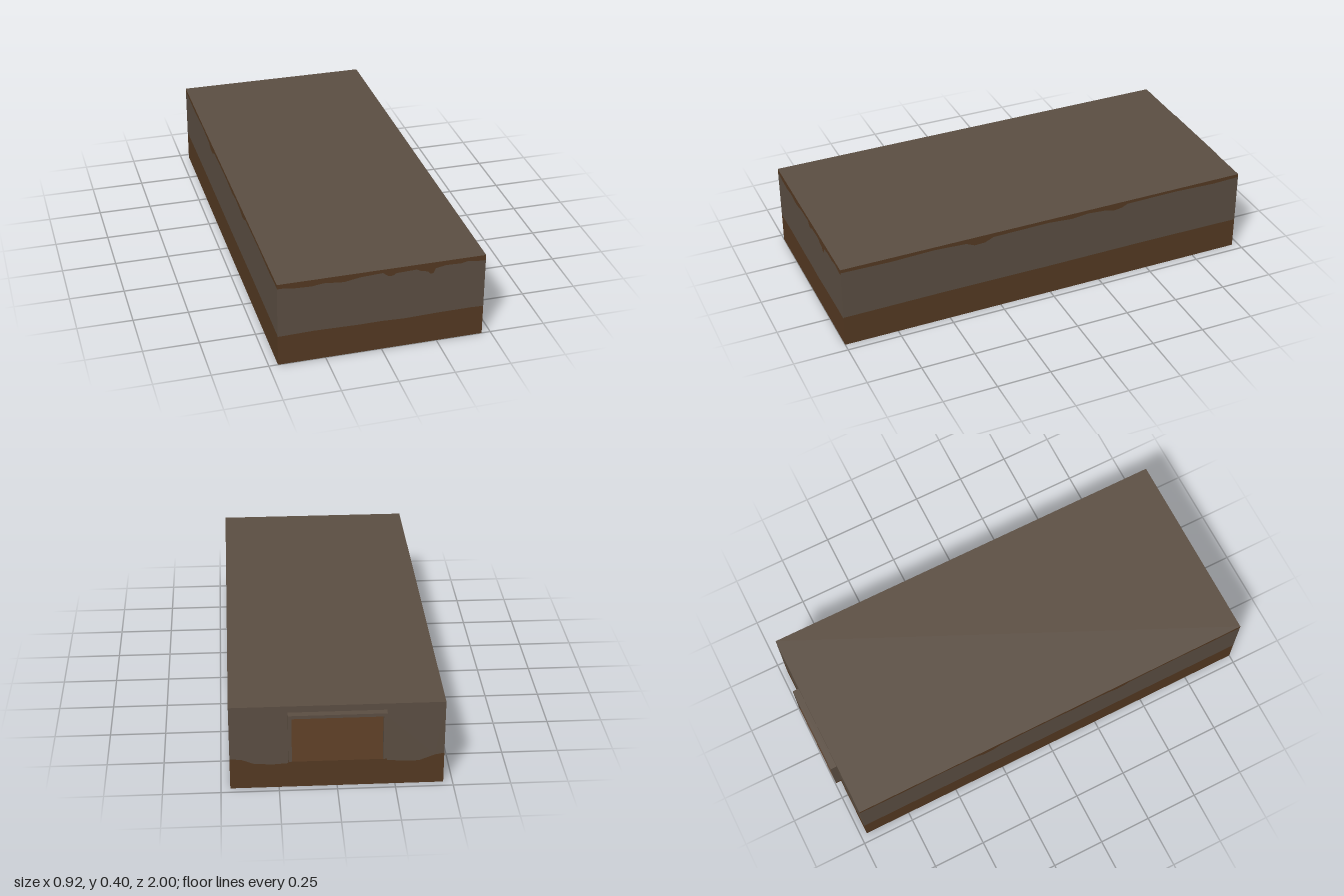
import * as THREE from 'three';

const W = 0.46, H = 0.4, BACK = -0.97, FRONT = 1;
const MID = (FRONT + BACK) / 2, HALF = (FRONT - BACK) / 2;

export function createModel() {
  const stone = new THREE.MeshStandardMaterial({ name: 'greyStone', color: 0x5b4e42, side: THREE.DoubleSide });
  const earth = new THREE.MeshStandardMaterial({ name: 'brownEarth', color: 0x543922, side: THREE.DoubleSide });
  const model = new THREE.Group();
  model.name = 'hollowBlock';

  const add = (parent, name, geometry, material) => {
    const mesh = new THREE.Mesh(geometry, material);
    mesh.name = name;
    parent.add(mesh);
    return mesh;
  };

  // Flat band between two edge lines, both running left to right
  const band = (low, high) => new THREE.ShapeGeometry(new THREE.Shape(
    [...low, ...[...high].reverse()].map(([u, y]) => new THREE.Vector2(u, y))));

  // Wall of stacked bands: earth at the foot, stone, and earth along the top
  const wall = (name, half, foot, top, x, z, turn, stoneLow = foot) => {
    const group = new THREE.Group();
    group.name = name;
    const level = (y) => [[-half, y], [half, y]];
    add(group, name + 'Foot', band(level(0), foot), earth);
    add(group, name + 'Stone', band(stoneLow, top || level(H)), stone);
    if (top) add(group, name + 'TopEarth', band(top, level(H)), earth);
    group.position.set(x, 0, z);
    group.rotation.y = turn;
    model.add(group);
  };

  // Front wall
  wall('frontWall', W,
    [[-W, 0.142], [-0.3, 0.146], [-0.1, 0.142], [0, 0.143], [0.1, 0.139], [0.25, 0.143], [0.4, 0.144], [W, 0.142]],
    [[-W, 0.379], [-0.43, 0.379], [-0.39, 0.372], [-0.31, 0.369], [-0.26, 0.376], [-0.17, 0.367], [-0.1, 0.379],
      [0, 0.384], [0.025, 0.364], [0.045, 0.364], [0.06, 0.374], [0.15, 0.377], [0.17, 0.366], [0.2, 0.36],
      [0.21, 0.347], [0.225, 0.347], [0.235, 0.37], [0.28, 0.378], [0.35, 0.376], [0.38, 0.383], [0.42, 0.376], [W, 0.374]],
    0, FRONT, 0);

  // Long side walls, with u measured along the wall
  const sideFoot = [[-HALF, 0.147], [-0.5, 0.15], [0, 0.148], [0.5, 0.15], [HALF, 0.147]];
  const sideTop = [[-HALF, 0.384], [-0.75, 0.38], [-0.55, 0.386], [-0.4, 0.378], [-0.36, 0.36], [-0.31, 0.362],
    [-0.27, 0.38], [0, 0.384], [0.12, 0.375], [0.2, 0.383], [0.29, 0.376], [0.33, 0.365], [0.37, 0.37],
    [0.4, 0.384], [0.65, 0.387], [0.85, 0.38], [HALF, 0.384]];
  wall('leftWall', HALF, sideFoot, sideTop, W, MID, Math.PI / 2);
  wall('rightWall', HALF, sideFoot, sideTop, -W, MID, -Math.PI / 2);

  // Back wall, notched around the window opening
  const OW = 0.195, OL = 0.145, OH = 0.355;
  const backLine = (y) => [[-W, 0.147], [-0.41, 0.143], [-0.36, 0.122], [-0.28, 0.115], [-OW, 0.12],
    ...y, [OW, 0.12], [0.29, 0.114], [0.35, 0.113], [0.42, 0.14], [W, 0.147]];
  wall('backWall', W, backLine([[-OW, OL], [OW, OL]]), null, 0, BACK, Math.PI,
    backLine([[-OW, OH], [OW, OH]]));

  // Roof and floor
  for (const [name, y, material] of [['roof', H, stone], ['floor', 0, earth]]) {
    const plate = add(model, name, new THREE.PlaneGeometry(2 * W, 2 * HALF), material);
    plate.rotation.x = y ? -Math.PI / 2 : Math.PI / 2;
    plate.position.set(0, y, MID);
  }

  // Window frame
  const frame = new THREE.Group();
  frame.name = 'windowFrame';
  const bar = (name, w, h, x, y, material) =>
    add(frame, name, new THREE.BoxGeometry(w, h, 0.03), material).position.set(x, y, BACK - 0.015);
  bar('frameTop', 0.42, 0.015, 0, 0.3625, stone);
  bar('frameSill', 0.42, 0.015, 0, 0.1375, earth);
  for (const s of [-1, 1]) bar('framePost', 0.015, 0.21, s * 0.2025, 0.25, stone);
  model.add(frame);

  return model;
}
